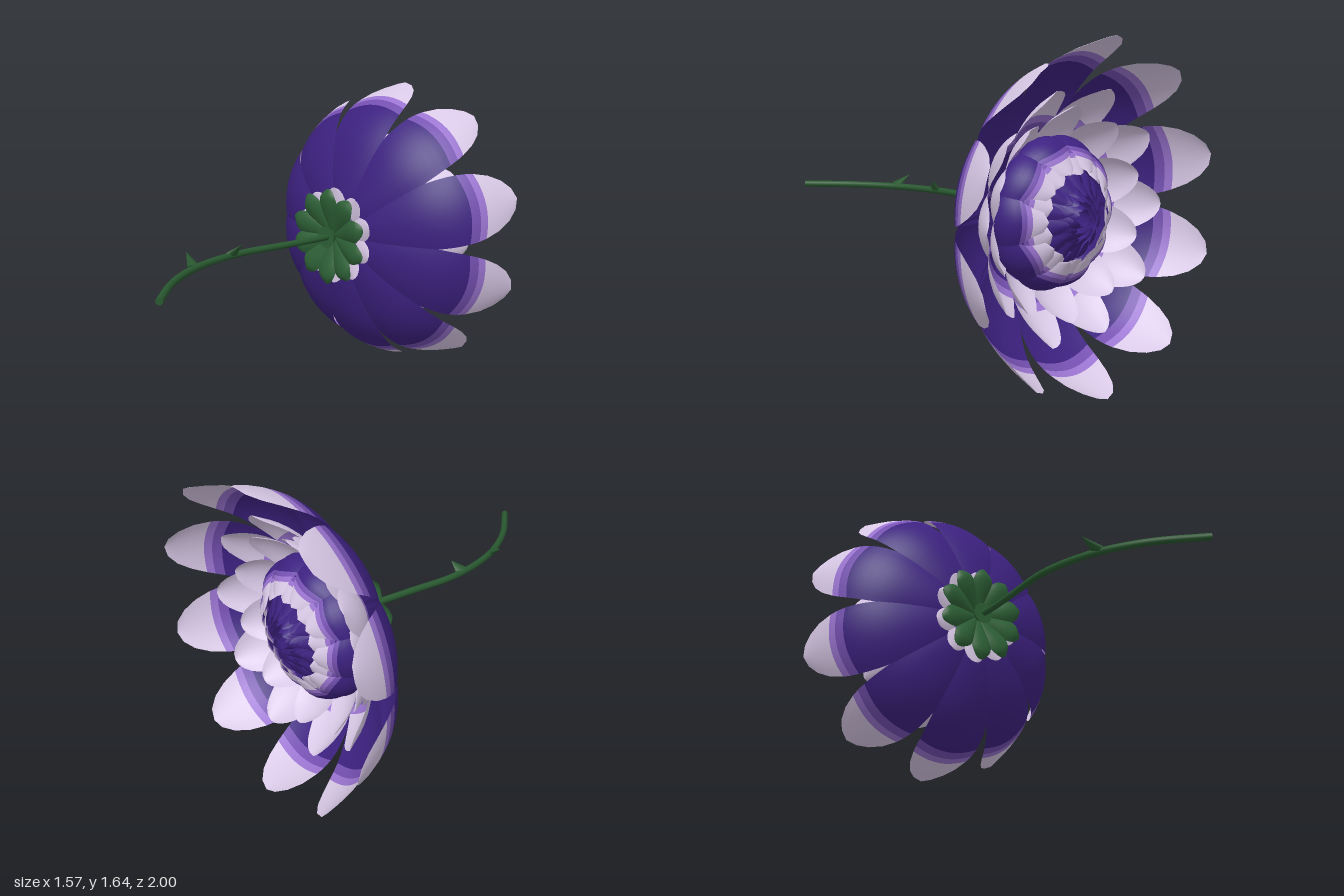
import * as THREE from 'three';

const mat = (name, color) => {
  const m = new THREE.MeshStandardMaterial({ color, side: THREE.DoubleSide });
  m.name = name;
  return m;
};

// Curved petal: profile is [radius, z] from base to tip, bands are the
// fractions of its length at which the next colour begins.
function petalGeometry({ profile, width, cup = 0.3, base = 0.3, bands = [], widest = 0.62, cols = 8 }) {
  const curve = new THREE.CatmullRomCurve3(profile.map(([r, z]) => new THREE.Vector3(0, r, z)));
  const edges = [0, ...bands, 1];
  const geo = new THREE.BufferGeometry();
  const rows = [0];
  for (let b = 0; b < edges.length - 1; b++) {
    const span = edges[b + 1] - edges[b];
    const n = Math.max(1, Math.round(span * 20));
    const start = rows.length - 1;
    for (let i = 1; i <= n; i++) {
      // rows crowd together towards the rounded tip
      const k = edges[b + 1] === 1 ? Math.sin((i / n) * Math.PI / 2) : i / n;
      rows.push(edges[b] + span * k);
    }
    geo.addGroup(start * cols * 6, n * cols * 6, b);
  }
  const pos = [], index = [];
  rows.forEach((row, i) => {
    for (let j = 0; j <= cols; j++) {
      const v = (j / cols) * 2 - 1;
      const t = Math.max(0, row - 0.04 * v * v * Math.sin(Math.PI * row));
      const p = curve.getPointAt(t), d = curve.getTangentAt(t);
      const tip = t < widest ? 1 : Math.sqrt(Math.max(0, 1 - ((t - widest) / (1 - widest)) ** 2));
      const w = width * tip * (base + (1 - base) * Math.sin(Math.min(t / widest, 1) * Math.PI / 2));
      const lift = cup * w * v * v;
      pos.push(v * w, p.y + d.z * lift, p.z - d.y * lift);
      if (i && j) {
        const a = i * (cols + 1) + j, c = a - cols - 1;
        index.push(c - 1, c, a - 1, c, a, a - 1);
      }
    }
  });
  geo.setAttribute('position', new THREE.Float32BufferAttribute(pos, 3));
  geo.setIndex(index);
  geo.computeVertexNormals();
  return geo;
}

// Ring of equal petals around the z axis
function petalRing(name, count, offset, spec, materials) {
  const ring = new THREE.Group();
  ring.name = name;
  const geo = petalGeometry(spec);
  for (let i = 0; i < count; i++) {
    const petal = new THREE.Mesh(geo, materials);
    petal.name = name + 'Petal';
    petal.rotation.z = ((i + offset) / count) * Math.PI * 2;
    ring.add(petal);
  }
  return ring;
}

export function createModel() {
  const model = new THREE.Group();
  model.name = 'flower';
  const dark = mat('deep purple', 0x3d2180);
  const mid = mat('medium purple', 0x7450b0);
  const lav = mat('lavender', 0x9a74d0);
  const pale = mat('pale lilac', 0xd8c8e6);
  const green = mat('leaf green', 0x2d6036);
  const stemGreen = mat('stem green', 0x28572f);
  const shades = [dark, mid, lav, pale];

  const bloom = new THREE.Group();
  bloom.name = 'bloom';
  bloom.position.y = 0.822;
  model.add(bloom);

  // Large open petals
  bloom.add(petalRing('outer', 10, 0, {
    profile: [[0.06, -0.465], [0.3, -0.495], [0.53, -0.575], [0.675, -0.69], [0.76, -0.83], [0.82, -1]],
    width: 0.186, bands: [0.715, 0.765, 0.805], cols: 10, cup: 0.16, base: 0.2, widest: 0.66,
  }, shades));

  // Shorter pale petals within
  bloom.add(petalRing('middle', 10, 0.5, {
    profile: [[0.06, -0.48], [0.28, -0.53], [0.44, -0.61], [0.54, -0.71], [0.61, -0.83]],
    width: 0.14, bands: [0.52, 0.59, 0.66],
  }, shades));
  bloom.add(petalRing('innerMiddle', 10, 0, {
    profile: [[0.06, -0.49], [0.25, -0.54], [0.38, -0.61], [0.46, -0.69], [0.51, -0.78]],
    width: 0.125, bands: [0.42, 0.49, 0.56],
  }, shades));

  // Closed cup, curling in at the tips
  for (const [name, offset, s, bands] of [
    ['cup', 0.5, 1, [0.8, 0.84, 0.88]], ['innerCup', 0, 0.93, [0.77, 0.81, 0.85]],
  ]) {
    bloom.add(petalRing(name, 10, offset, {
      profile: [[0.06, -0.49], [0.25 * s, -0.53], [0.37 * s, -0.62], [0.34 * s, -0.73], [0.21 * s, -0.815]],
      width: 0.125, bands, widest: 0.58,
    }, shades));
  }

  // Spiky dark heart
  for (const [name, count, r, z, offset] of [
    ['heartOuter', 14, 0.205, -0.825, 0], ['heartMiddle', 12, 0.16, -0.835, 0.5],
    ['heartInner', 10, 0.115, -0.84, 0.2], ['heartCore', 7, 0.065, -0.845, 0.6],
  ]) {
    bloom.add(petalRing(name, count, offset, {
      profile: [[r * 0.4, -0.52], [r * 1.05, -0.64], [r * 1.1, -0.75], [r * 0.62, z]],
      width: 0.05, widest: 0.5, cols: 4,
    }, [dark]));
  }

  // Collar of small pale petals and the green sepals below it
  const calyx = new THREE.Group();
  calyx.name = 'calyx';
  calyx.position.x = -0.025;
  bloom.add(calyx);
  calyx.add(petalRing('collar', 10, 0, {
    profile: [[0.02, -0.462], [0.12, -0.458], [0.2, -0.45], [0.272, -0.445]],
    width: 0.068, bands: [0.4, 0.48, 0.56], cup: 0.2,
  }, shades));
  calyx.add(petalRing('sepal', 10, 0, {
    profile: [[0, -0.44], [0.1, -0.405], [0.18, -0.38], [0.23, -0.376], [0.272, -0.395]],
    width: 0.065, base: 0.15, cup: 0.3,
  }, [green]));
  const neck = new THREE.Mesh(new THREE.CylinderGeometry(0.018, 0.06, 0.07, 16), green);
  neck.name = 'neck';
  neck.rotation.x = -Math.PI / 2;
  neck.position.z = -0.418;
  calyx.add(neck);

  // Stem
  const path = [[-0.02, -0.44], [-0.02, -0.33], [-0.045, -0.08], [-0.075, 0.17], [-0.06, 0.36],
    [0, 0.57], [0.12, 0.78], [0.305, 0.988]].map(([x, z]) => new THREE.Vector3(x, 0.825, z));
  const stem = new THREE.Mesh(
    new THREE.TubeGeometry(new THREE.CatmullRomCurve3(path), 48, 0.018, 12), stemGreen);
  stem.name = 'stem';
  model.add(stem);
  const end = new THREE.Mesh(new THREE.CircleGeometry(0.018, 12), stemGreen);
  end.name = 'stemEnd';
  end.position.copy(path[path.length - 1]);
  end.rotation.y = 0.73;
  model.add(end);

  // Thorns, flattened along the stem
  for (const [from, to] of [
    [[-0.012, 0.83, 0.55], [-0.1, 0.887, 0.53]],
    [[-0.07, 0.83, 0.265], [-0.02, 0.887, 0.235]],
  ]) {
    const a = new THREE.Vector3(...from), b = new THREE.Vector3(...to);
    const thorn = new THREE.Mesh(new THREE.ConeGeometry(0.04, a.distanceTo(b), 8), stemGreen);
    thorn.name = 'thorn';
    thorn.scale.x = 0.4;
    thorn.position.copy(a).lerp(b, 0.5);
    thorn.quaternion.setFromUnitVectors(new THREE.Vector3(0, 1, 0), b.sub(a).normalize());
    model.add(thorn);
  }
  return model;
}
